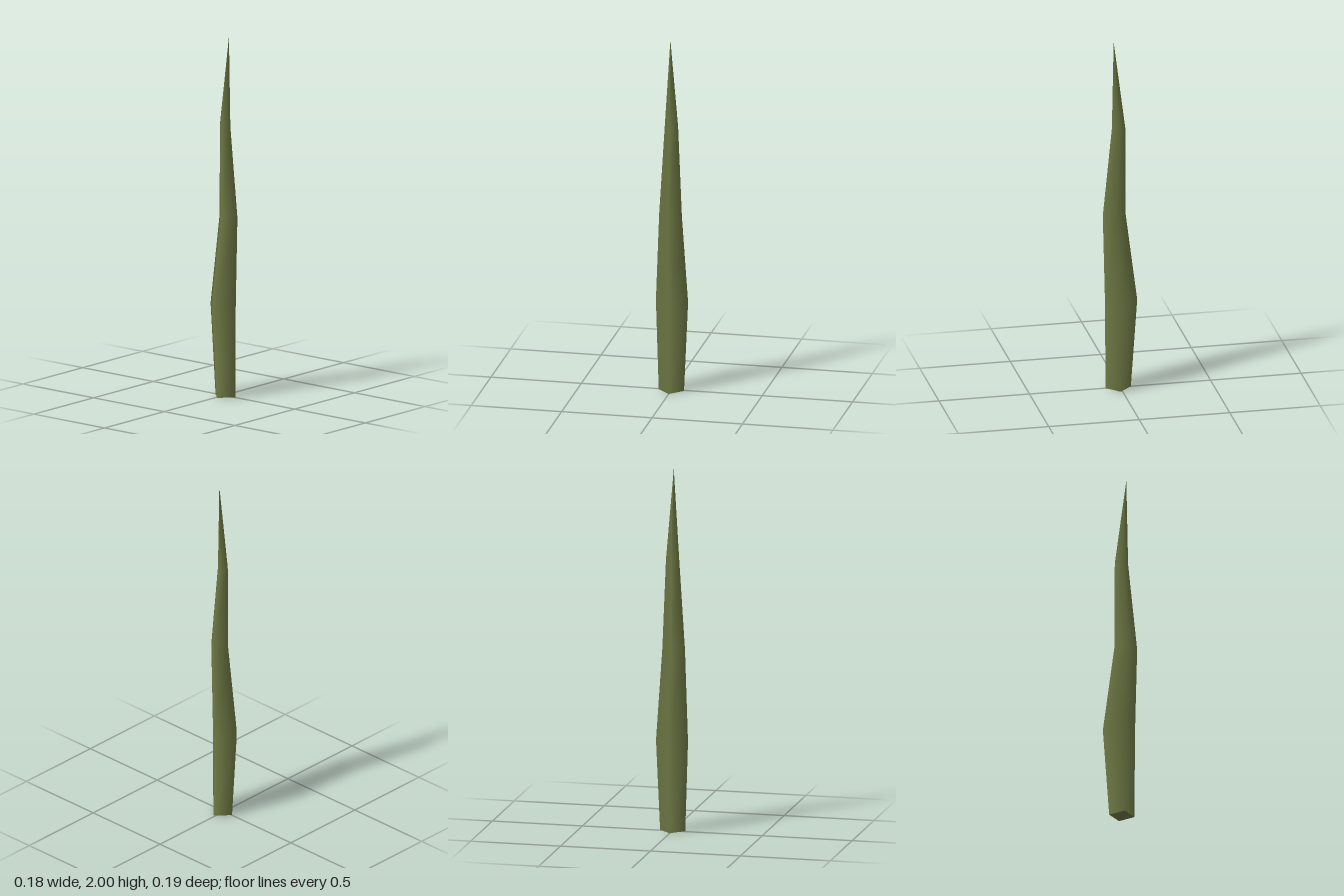
import * as THREE from 'three';

// Rings from base to tip, evenly spaced in height: [radius, z of centre]
const RINGS = [[0.07, 0.01], [0.089, -0.006], [0.063, 0.032], [0.037, 0.008], [0, 0.035]];
const HEIGHT = 2;
const BASE_RADIUS = RINGS[0][0];

export function createModel() {
  const group = new THREE.Group();
  group.name = 'spike';

  // Four-sided smooth cone with a capped base, bent and swollen ring by ring
  const last = RINGS.length - 1;
  const geometry = new THREE.CylinderGeometry(0, BASE_RADIUS, HEIGHT, 4, last);
  geometry.translate(0, HEIGHT / 2, 0);
  const pos = geometry.attributes.position;
  for (let i = 0; i < pos.count; i++) {
    const ring = Math.round((pos.getY(i) / HEIGHT) * last);
    const [radius, offset] = RINGS[ring];
    const coneRadius = BASE_RADIUS * (1 - ring / last);
    const scale = ring === last ? 0 : radius / coneRadius;
    pos.setX(i, pos.getX(i) * scale);
    pos.setZ(i, pos.getZ(i) * scale + offset);
  }

  const blade = new THREE.Mesh(geometry, new THREE.MeshStandardMaterial({ color: 0x6f7a45 }));
  blade.name = 'blade';
  group.add(blade);
  return group;
}
